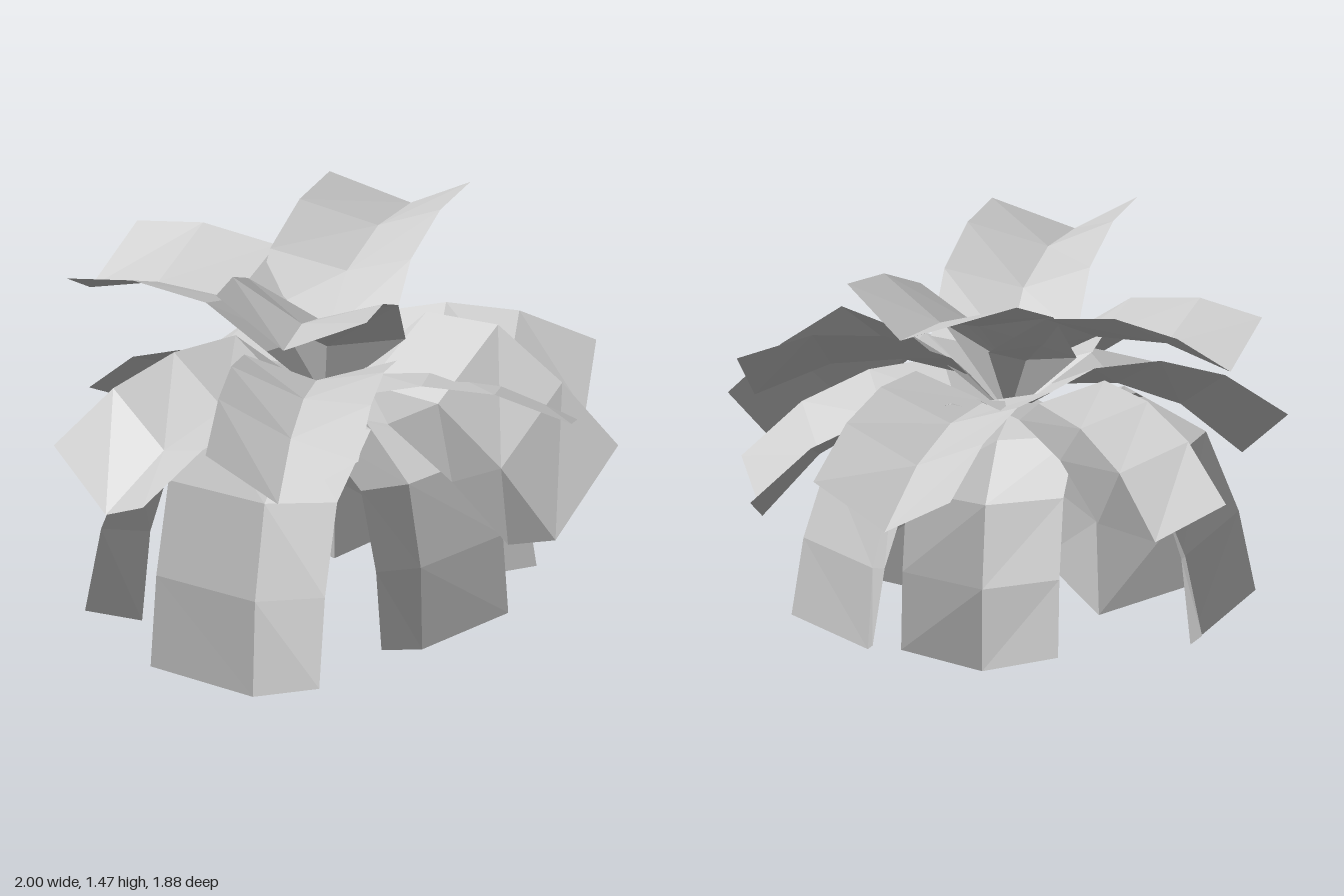
import * as THREE from 'three';

const V = (p) => new THREE.Vector3(...p);
const material = new THREE.MeshStandardMaterial({ color: 0xcccccc, flatShading: true, side: THREE.DoubleSide });

// All leaves grow from one point
const root = new THREE.Vector3(-0.06, 0.87, -0.03);

// Arch of each tier: [along, lift] as fractions of the leaf length
const arches = {
  upper: [[0, 0], [0.17, 0.17], [0.45, 0.225], [0.75, 0.15], [1, 0]],
  middle: [[0, 0], [0.16, 0.14], [0.43, 0.18], [0.71, 0.14], [1, 0]],
  lower: [[0, 0], [0.16, 0.18], [0.45, 0.285], [0.74, 0.17], [1, 0]],
};
// Width and fold depth of each row, relative to the tip
const widths = [0, 1, 1, 1, 1];
const depths = [0, 0.5, 0.65, 0.8, 1];

// Leaf tips: [fold, one edge, other edge]
const leaves = {
  upper: [
    [[-0.06, 1.33, -0.8], [-0.33, 1.43, -0.73], [0.2, 1.47, -0.7]],
    [[0.11, 1.31, 0.75], [-0.15, 1.465, 0.72], [0.37, 1.41, 0.64]],
    [[-0.93, 1.15, -0.05], [-0.86, 1.32, -0.3], [-0.905, 1.27, 0.22]],
  ],
  middle: [
    [[0.82, 0.87, -0.22], [0.77, 1.06, -0.44], [0.885, 0.93, 0.06]],
    [[-0.06, 0.68, -0.91], [-0.33, 0.83, -0.94], [0.2, 0.83, -0.94]],
    [[0.665, 0.52, -0.45], [0.57, 0.645, -0.71], [0.85, 0.66, -0.26]],
    [[0.14, 0.8, 0.87], [-0.1, 0.965, 0.935], [0.41, 0.97, 0.81]],
    [[-0.56, 0.62, 0.71], [-0.79, 0.81, 0.615], [-0.35, 0.73, 0.89]],
    [[-0.835, 0.625, -0.41], [-1.0, 0.73, -0.21], [-0.76, 0.75, -0.68]],
  ],
  lower: [
    [[0.855, 0.53, 0.13], [0.995, 0.82, -0.09], [0.835, 0.63, 0.505]],
    [[-0.06, 0, 0.61], [-0.37, 0.12, 0.77], [0.25, 0.12, 0.77]],
    [[0.41, 0.115, 0.24], [0.38, 0.2, 0.53], [0.64, 0.21, 0.03]],
    [[-0.63, 0.075, 0.215], [-0.71, 0.2, 0.53], [-0.82, 0.2, -0.05]],
    [[-0.23, 0.115, -0.53], [-0.535, 0.21, -0.55], [-0.02, 0.21, -0.72]],
    [[0.24, 0.115, -0.48], [0.53, 0.2, -0.49], [0.09, 0.21, -0.72]],
    [[0.38, 0.37, -0.07], [0.34, 0.41, -0.22], [0.4, 0.39, 0.03]],
  ],
};

// A strip with a sunken centre fold, swept along an arched path
function makeLeaf(arch, points) {
  const [tip, edgeA, edgeB] = points.map(V);
  const chord = tip.clone().sub(root);
  // Split the tip into its half span and its fold depth
  const span = edgeB.clone().sub(edgeA).multiplyScalar(0.5);
  const fold = edgeA.clone().add(edgeB).multiplyScalar(0.5).sub(tip);
  const skew = span.clone().multiplyScalar(fold.dot(span) / span.lengthSq());
  fold.sub(skew);
  // The arch rises along the leaf's own normal, so rolled leaves bend sideways too
  const lift = span.clone().cross(chord).setLength(chord.length());
  if (lift.dot(fold) < 0) lift.negate();

  const positions = [];
  const index = [];
  arch.forEach(([along, up], row) => {
    const centre = root.clone().addScaledVector(chord, along).addScaledVector(lift, up);
    for (const s of [-1, 0, 1]) {
      const p = centre.clone().addScaledVector(span, s * widths[row]);
      if (s) p.addScaledVector(skew, widths[row]).addScaledVector(fold, depths[row]);
      positions.push(...p.toArray());
    }
    if (row === 0) return;
    for (let c = 0; c < 2; c++) {
      const a = (row - 1) * 3 + c;
      if (row > 1) index.push(a, a + 1, a + 4);
      index.push(a, a + 4, a + 3);
    }
  });
  const geometry = new THREE.BufferGeometry();
  geometry.setAttribute('position', new THREE.Float32BufferAttribute(positions, 3));
  geometry.setIndex(index);
  geometry.computeVertexNormals();
  return new THREE.Mesh(geometry, material);
}

export function createModel() {
  const plant = new THREE.Group();
  plant.name = 'leafCrown';
  for (const [tier, list] of Object.entries(leaves)) {
    const group = new THREE.Group();
    group.name = `${tier}Leaves`;
    list.forEach((points, i) => {
      const leaf = makeLeaf(arches[tier], points);
      leaf.name = `${tier}Leaf${i + 1}`;
      group.add(leaf);
    });
    plant.add(group);
  }
  return plant;
}
